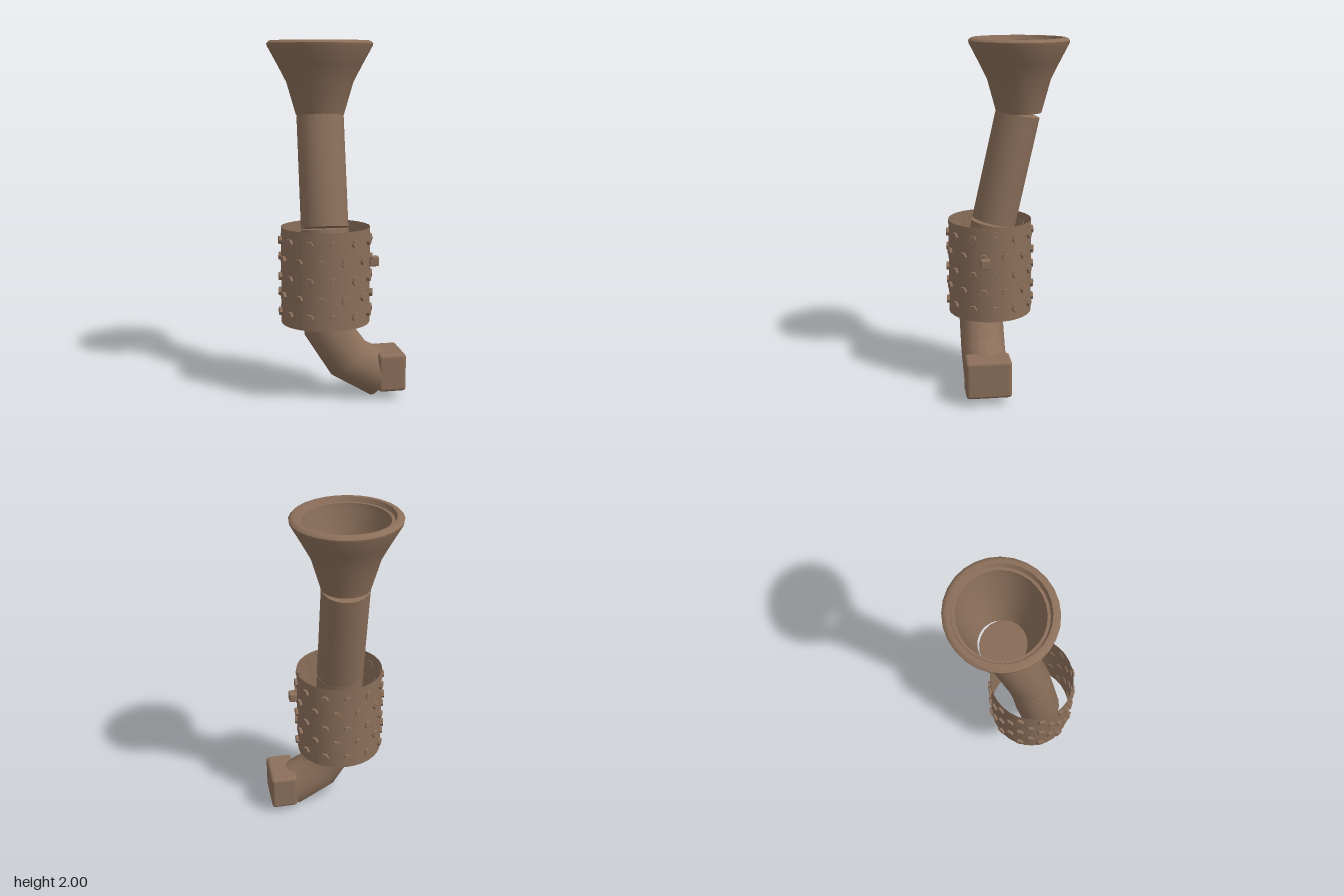
import * as THREE from 'three';
import { toCreasedNormals } from 'three/addons/utils/BufferGeometryUtils.js';
import { RoundedBoxGeometry } from 'three/addons/geometries/RoundedBoxGeometry.js';

const CX = -0.065;       // shared centre line in x
const SQUASH = 0.94;     // round parts are slightly narrower in z
const R = 0.135;         // pipe radius

// Pipe through rings [x, y, z, tiltX, tiltZ]: tiltX raises the +x side, tiltZ raises the +z side
function pipe(rings, sides = 20) {
  const pos = [], index = [];
  const ringPoint = ([x, y, z, ax, az], t) => {
    const u = R * Math.cos(t), w = R * SQUASH * Math.sin(t);
    return [x + u * Math.cos(ax), y + u * Math.sin(ax) + w * Math.sin(az), z + w * Math.cos(az)];
  };
  rings.forEach((r) => {
    for (let i = 0; i <= sides; i++) pos.push(...ringPoint(r, (i / sides) * Math.PI * 2));
  });
  const row = sides + 1;
  for (let j = 0; j < rings.length - 1; j++) {
    for (let i = 0; i < sides; i++) {
      const a = j * row + i, b = a + row;
      index.push(a, a + 1, b, b, a + 1, b + 1);
    }
  }
  // end caps
  const top = pos.length / 3, last = (rings.length - 1) * row;
  pos.push(...rings[0].slice(0, 3), ...rings[rings.length - 1].slice(0, 3));
  for (let i = 0; i < sides; i++) {
    index.push(top, i + 1, i);
    index.push(top + 1, last + i, last + i + 1);
  }
  const g = new THREE.BufferGeometry();
  g.setAttribute('position', new THREE.Float32BufferAttribute(pos, 3));
  g.setIndex(index);
  return toCreasedNormals(g, 0.5);
}

export function createModel() {
  const model = new THREE.Group();
  const brown = new THREE.MeshStandardMaterial({ color: 0x8b6f5a, side: THREE.DoubleSide });
  brown.name = 'brown';

  function add(name, geometry, x = 0, y = 0, z = 0, parent = model) {
    const m = new THREE.Mesh(geometry, brown);
    m.name = name;
    m.position.set(x, y, z);
    parent.add(m);
    return m;
  }

  // Flared funnel with a stepped rim, open at the bottom
  const profile = [
    [0.136, 1.585], [0.19, 1.77], [0.24, 1.865], [0.298, 1.97], [0.301, 1.985], [0.29, 1.996],
    [0.282, 2.0], [0.261, 2.0], [0.25, 1.975], [0.234, 1.975], [0.23, 1.94], [0.182, 1.77], [0.134, 1.586],
  ].map(([r, y]) => new THREE.Vector2(r, y));
  const funnel = add('funnel', toCreasedNormals(new THREE.LatheGeometry(profile, 28), 0.5), CX, 0, -0.067);
  funnel.scale.z = SQUASH;

  // Leaning upper pipe
  const lean = 0.22;
  add('upperPipe', pipe([[CX, 1.58, -0.061, 0, lean], [CX, 0.963, 0.077, 0, lean]]));

  // Lower pipe, running through the sleeve and bending towards +x
  add('lowerPipe', pipe([
    [CX, 0.955, 0.08, 0, 0.14],
    [CX, 0.45, 0.155, 0, 0],
    [-0.063, 0.4, 0.155, 0.22, 0],
    [0.055, 0.223, 0.155, 0.76, 0],
    [0.243, 0.118, 0.155, 1.05, 0],
  ]));

  // Block at the end of the bend
  add('endBlock', new RoundedBoxGeometry(0.157, 0.216, 0.255, 3, 0.02), 0.2865, 0.153, 0.153);

  // Open sleeve
  const sleeveZ = 0.101, sleeveR = 0.25;
  const sleeve = add('sleeve', new THREE.CylinderGeometry(sleeveR, sleeveR, 0.545, 32, 1, true), CX, 0.7025, sleeveZ);
  sleeve.scale.z = 0.955;

  // Staggered rows of six-sided studs
  const studs = new THREE.Group();
  studs.name = 'studs';
  model.add(studs);
  const studGeo = new THREE.CylinderGeometry(0.024, 0.024, 0.02, 6, 1, false, Math.PI / 6)
    .rotateX(Math.PI / 2).toNonIndexed();
  studGeo.computeVertexNormals();
  [0.905, 0.803, 0.7, 0.6, 0.5].forEach((y, row) => {
    for (let i = 0; i < 12; i++) {
      const a = ((i + (row % 2) * 0.5) / 12) * Math.PI * 2;
      const s = add('stud', studGeo, CX + 0.255 * Math.sin(a), y, sleeveZ + 0.242 * Math.cos(a), studs);
      s.rotation.y = a;
    }
  });

  // Small knob on the left side of the sleeve
  add('knob', new RoundedBoxGeometry(0.056, 0.055, 0.055, 2, 0.008), 0.199, 0.777, 0.156);

  return model;
}
